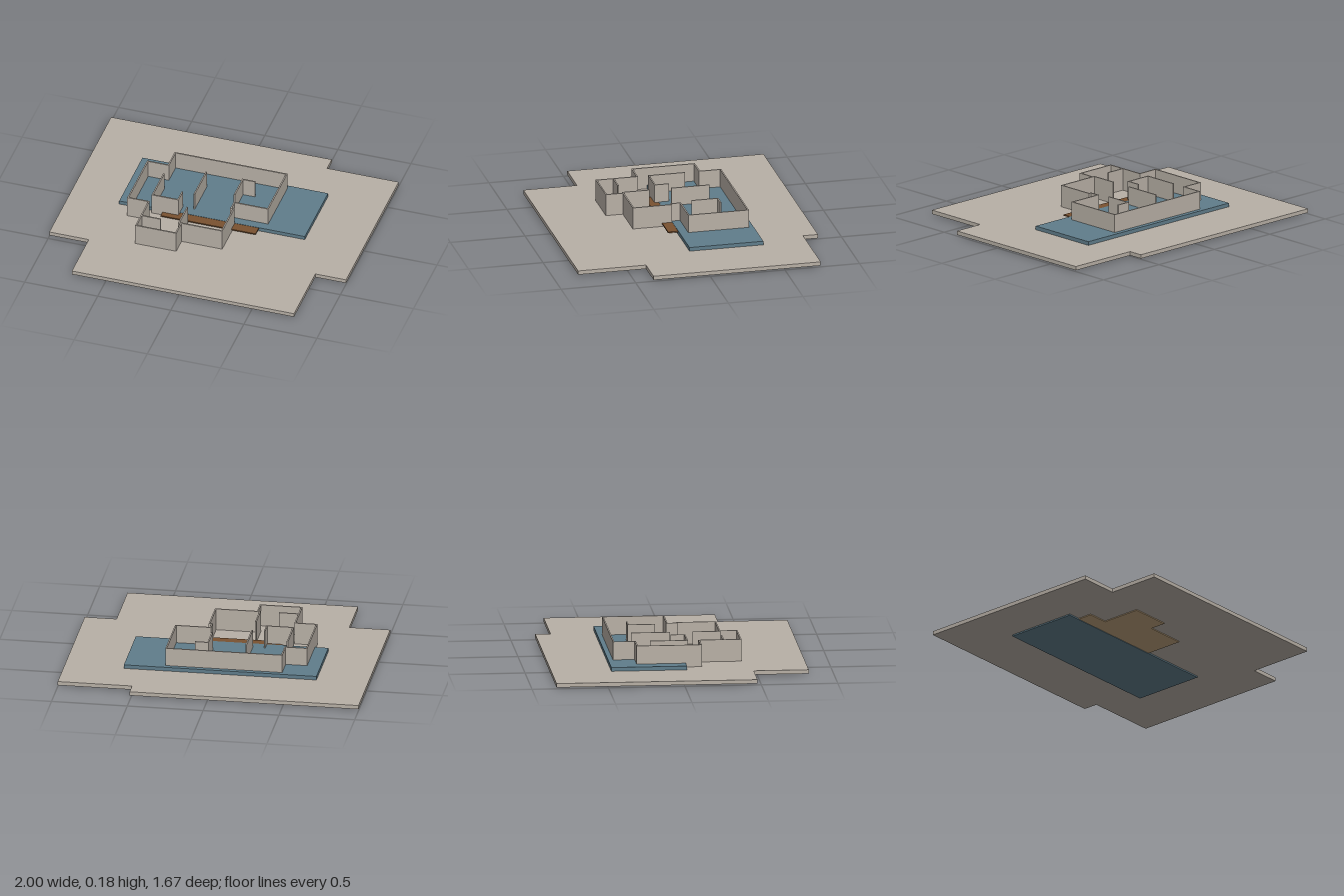
import * as THREE from 'three';

const mat = (name, color) => {
  const m = new THREE.MeshStandardMaterial({ color });
  m.name = name;
  return m;
};

export function createModel() {
  const model = new THREE.Group();
  model.name = 'housePlan';
  const stone = mat('warm grey stone', 0xb8b0a6);
  const blue = mat('slate blue', 0x607d8b);
  const wood = mat('brown wood', 0x7a5230);
  const tan = mat('tan floor', 0xbda17a);

  // Flat slab from an outline of [x, z] points between two heights
  const slab = (name, pts, y0, y1, material) => {
    const shape = new THREE.Shape(pts.map(([x, z]) => new THREE.Vector2(x, -z)));
    const geo = new THREE.ExtrudeGeometry(shape, { depth: y1 - y0, bevelEnabled: false });
    geo.rotateX(-Math.PI / 2).translate(0, y0, 0);
    const mesh = new THREE.Mesh(geo, material);
    mesh.name = name;
    model.add(mesh);
  };
  const rect = (x0, x1, z0, z1) => [[x0, z0], [x1, z0], [x1, z1], [x0, z1]];

  // Stepped ground
  slab('ground', [
    [-1, -0.84], [0.51, -0.84], [0.51, -0.74], [1, -0.74], [1, 0.38], [0.79, 0.38],
    [0.79, 0.835], [-0.73, 0.835], [-0.73, 0.475], [-1, 0.475],
  ], 0.009, 0.035, stone);

  // Raised terrace, deck and the floor under the front rooms
  slab('terrace', rect(-0.66, 0.61, -0.45, 0.045), 0, 0.06, blue);
  slab('deck', rect(-0.355, 0.295, 0.045, 0.112), 0.05, 0.058, wood);
  slab('frontFloor', [
    [-0.57, 0.045], [0.125, 0.045], [0.125, 0.308], [-0.152, 0.308],
    [-0.152, 0.42], [-0.427, 0.42], [-0.427, 0.148], [-0.57, 0.148],
  ], 0.003, 0.015, tan);

  // Walls along lines of [x, z] points
  const walls = new THREE.Group();
  walls.name = 'walls';
  model.add(walls);
  const T = 0.009, BASE = 0.015, TOP = 0.181;
  const run = (name, pts) => {
    for (let i = 1; i < pts.length; i++) {
      const [ax, az] = pts[i - 1], [bx, bz] = pts[i];
      const geo = new THREE.BoxGeometry(Math.abs(bx - ax) + T, TOP - BASE, Math.abs(bz - az) + T);
      const mesh = new THREE.Mesh(geo, stone);
      mesh.position.set((ax + bx) / 2, (BASE + TOP) / 2, (az + bz) / 2);
      mesh.name = name;
      walls.add(mesh);
    }
  };
  run('outerWall', [
    [-0.567, -0.272], [-0.425, -0.272], [-0.425, -0.414], [0.337, -0.414], [0.337, -0.016],
    [0.107, -0.016], [0.107, 0.049], [0.125, 0.049], [0.125, 0.304], [-0.153, 0.304],
    [-0.153, 0.418], [-0.425, 0.418], [-0.425, 0.145], [-0.567, 0.145], [-0.567, -0.272],
  ]);
  const inner = [
    [[-0.425, 0.304], [-0.297, 0.304]],
    [[-0.168, 0.304], [-0.168, 0.13]],
    [[-0.153, 0.304], [-0.168, 0.304]],
    [[-0.168, -0.025], [-0.168, -0.272]],
    [[0.165, -0.272], [0.083, -0.272], [0.083, -0.1]],
    [[-0.425, 0.045], [-0.425, 0.068], [-0.25, 0.068], [-0.25, -0.02]],
    [[-0.425, 0.045], [-0.425, -0.17]],
  ];
  inner.forEach((pts) => run('innerWall', pts));

  return model;
}
